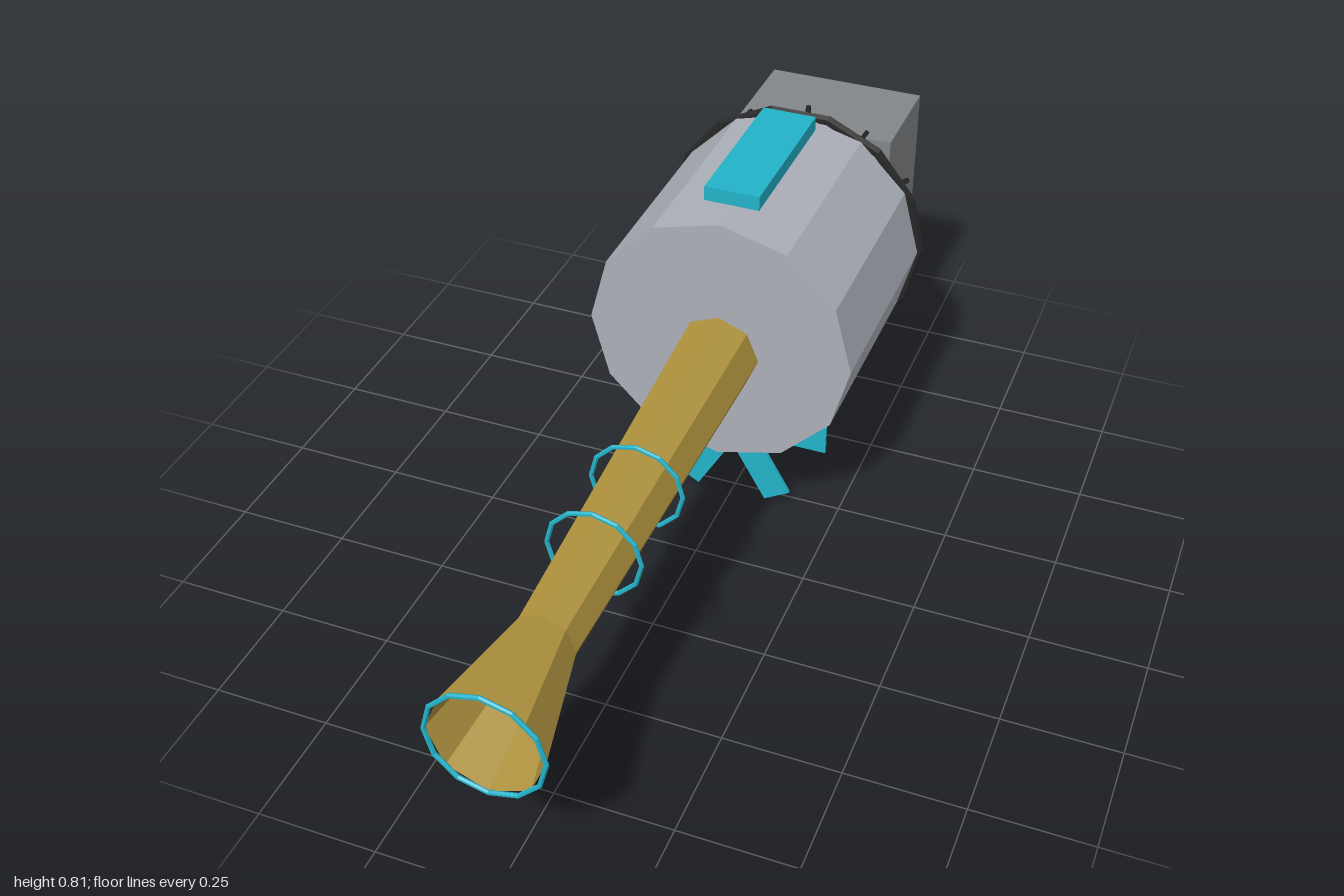
import * as THREE from 'three';

const mat = (name, color, side = THREE.FrontSide) => {
  const m = new THREE.MeshStandardMaterial({ color, side, flatShading: true });
  m.name = name;
  return m;
};

export function createModel() {
  const model = new THREE.Group();
  model.name = 'hornMachine';
  const silver = mat('silver', 0xabafb7);
  const grey = mat('grey', 0x828689);
  const black = mat('black', 0x262626);
  const cyan = mat('cyan', 0x23b2c8);
  const brass = mat('brass', 0xae923e, THREE.DoubleSide);

  const add = (name, geometry, material, x = 0, y = 0, z = 0, parent = model) => {
    const mesh = new THREE.Mesh(geometry, material);
    mesh.name = name;
    mesh.position.set(x, y, z);
    parent.add(mesh);
    return mesh;
  };
  const box = (w, h, d) => new THREE.BoxGeometry(w, h, d);
  // Cylinder lying along z
  const rod = (rFront, rBack, length, sides, open = false) =>
    new THREE.CylinderGeometry(rFront, rBack, length, sides, 1, open).rotateX(Math.PI / 2);

  // Drum with its dark rear rim
  const drumY = 0.478;
  add('drum', rod(0.293, 0.293, 0.5, 12), silver, 0, drumY, -0.38);
  add('drumRim', new THREE.TorusGeometry(0.293, 0.012, 6, 14), black, 0, drumY, -0.635);
  add('topPlate', box(0.12, 0.032, 0.36), cyan, 0, 0.794, -0.38);

  // Open horn: each section is a cone sheared between two centre heights
  const hornSection = (name, z0, y0, r0, z1, y1, r1) => {
    const g = rod(r1, r0, z1 - z0, 8, true);
    const p = g.attributes.position;
    const slope = (y1 - y0) / (z1 - z0);
    for (let i = 0; i < p.count; i++) p.setY(i, p.getY(i) + slope * p.getZ(i));
    g.computeVertexNormals();
    add(name, g, brass, 0, (y0 + y1) / 2, (z0 + z1) / 2);
  };
  hornSection('hornTube', -0.14, 0.455, 0.09, 0.75, 0.405, 0.065);
  hornSection('hornBell', 0.75, 0.405, 0.065, 0.99, 0.381, 0.116);

  // Rings around the horn: z, y, radius
  for (const [z, y, r] of [[0.992, 0.38, 0.117], [0.525, 0.43, 0.097], [0.318, 0.433, 0.097]])
    add('hornRing', new THREE.TorusGeometry(r, 0.005, 6, 12), cyan, 0, y, z);

  // Thin spokes behind the drum
  const spokes = new THREE.Group();
  spokes.name = 'rearSpokes';
  spokes.position.set(0, drumY, -0.694);
  model.add(spokes);
  for (let i = 0; i < 6; i++)
    add('spoke', box(0.01, 0.56, 0.008), black, 0, 0, 0, spokes).rotation.z = (i * Math.PI) / 6;

  // Rear box, its slanted shaft and bolts
  add('rearShaft', rod(0.012, 0.012, 0.16, 8), black, 0, 0.442, -0.69).rotation.x = -0.23;
  add('rearBox', box(0.364, 0.485, 0.242), grey, 0, 0.432, -0.865);
  for (const x of [-0.147, 0.147])
    add('boxBolt', box(0.02, 0.02, 0.268), black, x, 0.6, -0.865);

  // Small propeller partly sunk into the drum's underside
  const propeller = new THREE.Group();
  propeller.name = 'propeller';
  propeller.position.set(0, 0.209, -0.227);
  model.add(propeller);
  for (let i = 0; i < 6; i++) {
    const arm = new THREE.Group();
    arm.name = 'propellerArm';
    arm.rotation.z = (i * Math.PI) / 3;
    propeller.add(arm);
    add('blade', box(0.146, 0.067, 0.008), cyan, 0.146, 0, 0, arm);
  }
  add('propellerHub', rod(0.05, 0.05, 0.045, 8), brass, 0, 0, -0.004, propeller);
  add('hubBlock', box(0.046, 0.05, 0.04), black, 0, -0.037, 0.01, propeller).rotation.x = 0.15;

  return model;
}
